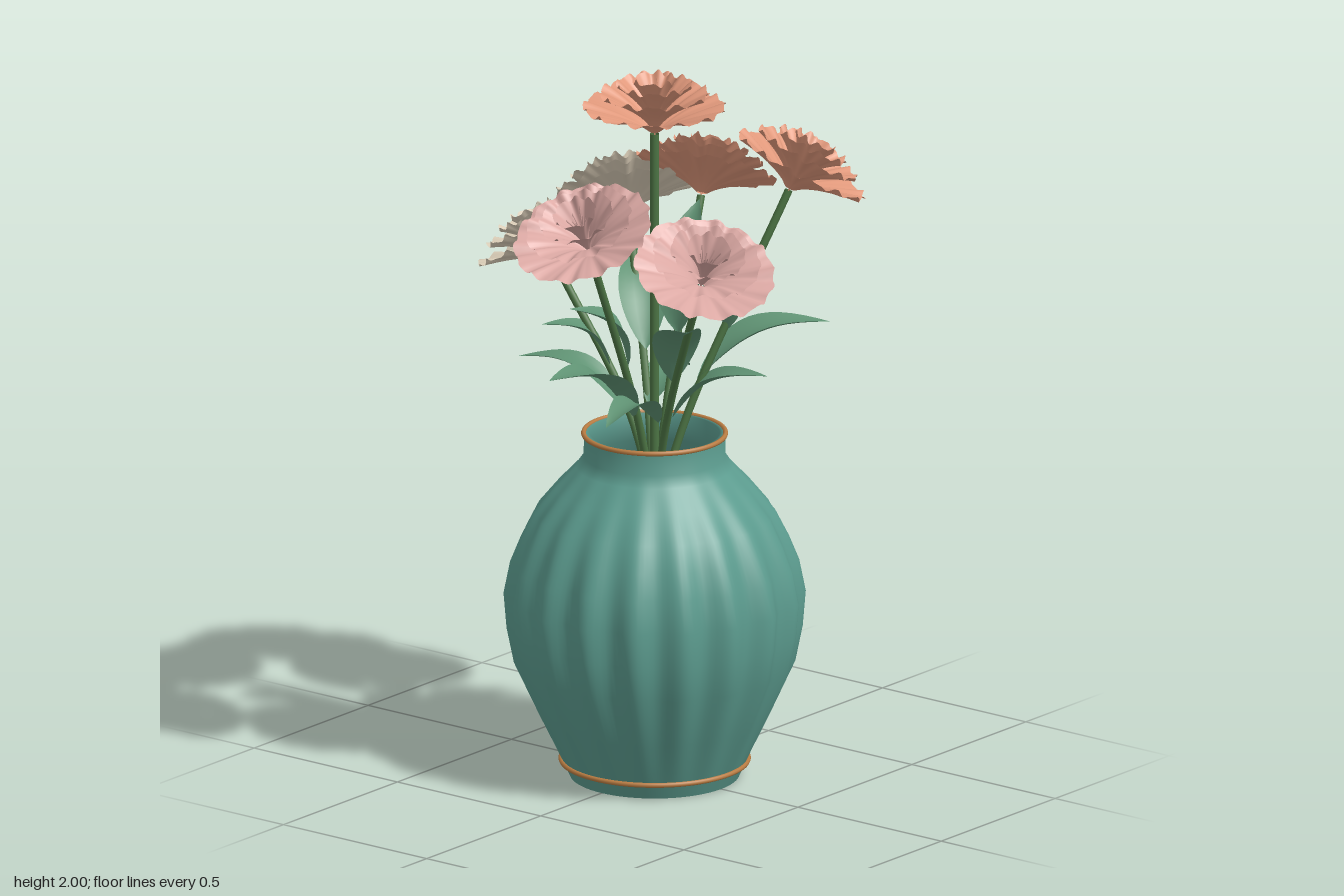
import * as THREE from 'three';
import { mergeVertices } from 'three/addons/utils/BufferGeometryUtils.js';

const mat = (name, color) => new THREE.MeshStandardMaterial({ name, color, side: THREE.DoubleSide });
const V = (x, y, z) => new THREE.Vector3(x, y, z);

export function createModel() {
  const teal = mat('tealGlaze', 0x5c9c8f), gold = mat('gold', 0xb97c42);
  const stemGreen = mat('stemGreen', 0x4c7444), leafGreen = mat('leafGreen', 0x5f9273);
  const coral = mat('coralPetal', 0xe0987b), cream = mat('creamPetal', 0xdccfb9), pink = mat('pinkPetal', 0xdca9a4);

  const model = new THREE.Group();
  model.name = 'vaseOfFlowers';
  const add = (parent, name, geometry, material) => {
    const mesh = new THREE.Mesh(geometry, material);
    mesh.name = name;
    parent.add(mesh);
    return mesh;
  };

  // Grid of points (rows x columns) turned into a smooth surface
  const surface = (rows, cols, point) => {
    const pos = [], index = [];
    for (let i = 0; i <= rows; i++)
      for (let j = 0; j <= cols; j++) pos.push(...point(i / rows, j / cols).toArray());
    for (let i = 0; i < rows; i++)
      for (let j = 0; j < cols; j++) {
        const a = i * (cols + 1) + j, b = a + cols + 1;
        index.push(a, b, a + 1, a + 1, b, b + 1);
      }
    const g = new THREE.BufferGeometry();
    g.setAttribute('position', new THREE.Float32BufferAttribute(pos, 3));
    g.setIndex(index);
    const merged = mergeVertices(g, 1e-5);
    merged.computeVertexNormals();
    return merged;
  };

  // Turned wall with flutes that fade out towards foot and neck
  const wall = (profile, flute) => {
    let g = new THREE.LatheGeometry(profile.map(p => new THREE.Vector2(...p)), 180);
    g.deleteAttribute('normal');
    g.deleteAttribute('uv');
    const p = g.attributes.position;
    for (let i = 0; i < p.count; i++) {
      const x = p.getX(i), y = p.getY(i), z = p.getZ(i);
      const fade = Math.max(0, Math.sin(Math.PI * THREE.MathUtils.clamp((y - 0.045) / 0.85, 0, 1)));
      const k = 1 + flute * fade * Math.cos(18 * Math.atan2(z, x));
      p.setXYZ(i, x * k, y, z * k);
    }
    g = mergeVertices(g, 1e-5);
    g.computeVertexNormals();
    return g;
  };

  // Vase
  const vase = new THREE.Group();
  vase.name = 'vase';
  model.add(vase);
  add(vase, 'vaseBody', wall([[0.252, 0.045], [0.31, 0.17], [0.374, 0.32], [0.392, 0.42], [0.4, 0.52],
    [0.384, 0.61], [0.358, 0.68], [0.325, 0.75], [0.27, 0.82], [0.215, 0.88], [0.194, 0.91], [0.193, 0.975]], 0.033), teal);
  add(vase, 'vaseFoot', wall([[0.232, 0], [0.252, 0.045]], 0), teal);
  add(vase, 'vaseInside', wall([[0.193, 0.975], [0.178, 0.975], [0.178, 0.9], [0.25, 0.8], [0.35, 0.6], [0.35, 0.35],
    [0.24, 0.06], [0, 0.05]], 0), teal);
  add(vase, 'vaseBase', new THREE.CircleGeometry(0.232, 72).rotateX(Math.PI / 2), teal);
  for (const [name, r, y] of [['rimBand', 0.194, 0.974], ['footBand', 0.256, 0.045]])
    add(vase, name, new THREE.TorusGeometry(r, 0.007, 8, 96).rotateX(Math.PI / 2).translate(0, y, 0), gold);

  // One ruffled trumpet of petals
  const trumpet = (R, h, waves, phase) => surface(9, 112, (u, v) => {
    const a = v * Math.PI * 2, t = 0.07 + 0.93 * u;
    const ruffle = Math.sin(waves * a + phase) + 0.6 * Math.sin((waves * 2 - 5) * a + phase * 2);
    const r = R * t * (1 + 0.02 * t * Math.cos(waves * a + phase));
    return V(r * Math.cos(a), h * Math.pow(t, 0.5) + 0.006 * t * t * ruffle, r * Math.sin(a));
  });
  const layers = [[0.193, 0.098, 15], [0.148, 0.136, 13], [0.103, 0.162, 11], [0.06, 0.176, 8]];

  const flower = (material, seed) => {
    const g = new THREE.Group();
    g.name = 'flower';
    layers.forEach(([R, h, n], i) => add(g, 'petalRing', trumpet(R, h, n, seed + i * 1.9), material));
    for (let i = 0; i < 8; i++) {
      const a = i * 2.4 + seed, lean = 0.012 + 0.003 * i;
      const path = new THREE.QuadraticBezierCurve3(V(0, 0.01, 0), V(0, 0.1, 0),
        V(lean * Math.cos(a), 0.14 + 0.004 * i, lean * Math.sin(a)));
      add(g, 'stamen', new THREE.TubeGeometry(path, 6, 0.002, 5), material);
    }
    return g;
  };

  // Flower heads: petal colour and centre of the outer petal ring
  const heads = [
    [coral, 0, 1.905, 0],
    [coral, -0.09, 1.63, -0.34],
    [coral, 0.25, 1.705, -0.33],
    [cream, -0.32, 1.55, -0.28],
    [cream, -0.345, 1.485, 0.055],
    [pink, 0.02, 1.63, 0.34],
    [pink, 0.345, 1.56, 0.215],
  ];
  heads.forEach(([material, x, y, z], i) => {
    const out = V(x, 0, z);
    const tilt = out.length() > 0.01 ? 0.5 : 0;
    const axis = out.normalize().multiplyScalar(Math.sin(tilt)).setY(Math.cos(tilt));
    const base = V(x, y, z).addScaledVector(axis, -0.095);
    const bloom = flower(material, i * 1.3);
    bloom.position.copy(base);
    bloom.quaternion.setFromUnitVectors(V(0, 1, 0), axis);
    model.add(bloom);
    const stem = new THREE.CatmullRomCurve3([V(-base.x * 0.15, 0.5, -base.z * 0.15),
      V(base.x * 0.23, 1, base.z * 0.23), base.clone().addScaledVector(axis, 0.02)]);
    add(model, 'stem', new THREE.TubeGeometry(stem, 20, tilt ? 0.011 : 0.013, 10), stemGreen);
  });

  // Arched, slightly folded leaf from a to b
  const leaf = (a, b, width, arch) => {
    const dir = b.clone().sub(a);
    const side = V(dir.z, 0, -dir.x).normalize();
    const lift = side.clone().cross(dir).normalize();
    if (lift.y < 0) lift.negate();
    add(model, 'leaf', surface(14, 6, (u, v) => {
      const s = v * 2 - 1;
      const half = width / 2 * Math.pow(Math.sin(Math.PI * Math.pow(u, 0.85)), 0.9) + 0.003 * (1 - u);
      return a.clone().addScaledVector(dir, u)
        .addScaledVector(lift, arch * Math.sin(Math.PI * u) + 0.3 * half * s * s)
        .addScaledVector(side, half * s);
    }), leafGreen);
  };

  // Leaves: root, tip, width, arch
  [
    [-0.09, 1.03, 0.02, -0.4, 1.14, 0.1, 0.1, 0.06],
    [-0.14, 1.14, 0.02, -0.27, 1.27, 0.16, 0.1, 0.05],
    [-0.11, 1.17, -0.1, -0.3, 1.39, -0.29, 0.13, 0.05],
    [-0.06, 1.03, -0.05, -0.1, 1.08, -0.28, 0.1, 0.05],
    [-0.03, 1.22, -0.14, -0.05, 1.57, -0.26, 0.14, 0.04],
    [0.07, 1.12, -0.1, 0.31, 1.26, -0.38, 0.14, 0.06],
    [0.04, 1.02, -0.03, 0.29, 1.16, -0.13, 0.12, 0.05],
    [0.13, 1.26, -0.16, 0.21, 1.42, 0.02, 0.11, 0.05],
    [0.12, 1.16, 0.07, 0.31, 1.38, 0.25, 0.13, 0.05],
    [0.06, 1.03, 0.06, 0.1, 1.09, 0.34, 0.1, 0.06],
    [0, 1.04, 0.09, -0.05, 1.21, 0.4, 0.15, 0.06],
    [0.01, 1.2, 0.13, -0.1, 1.37, 0.25, 0.13, 0.05],
  ].forEach(([x, y, z, X, Y, Z, w, arch]) => leaf(V(x, y, z), V(X, Y, Z), w, arch));

  return model;
}
